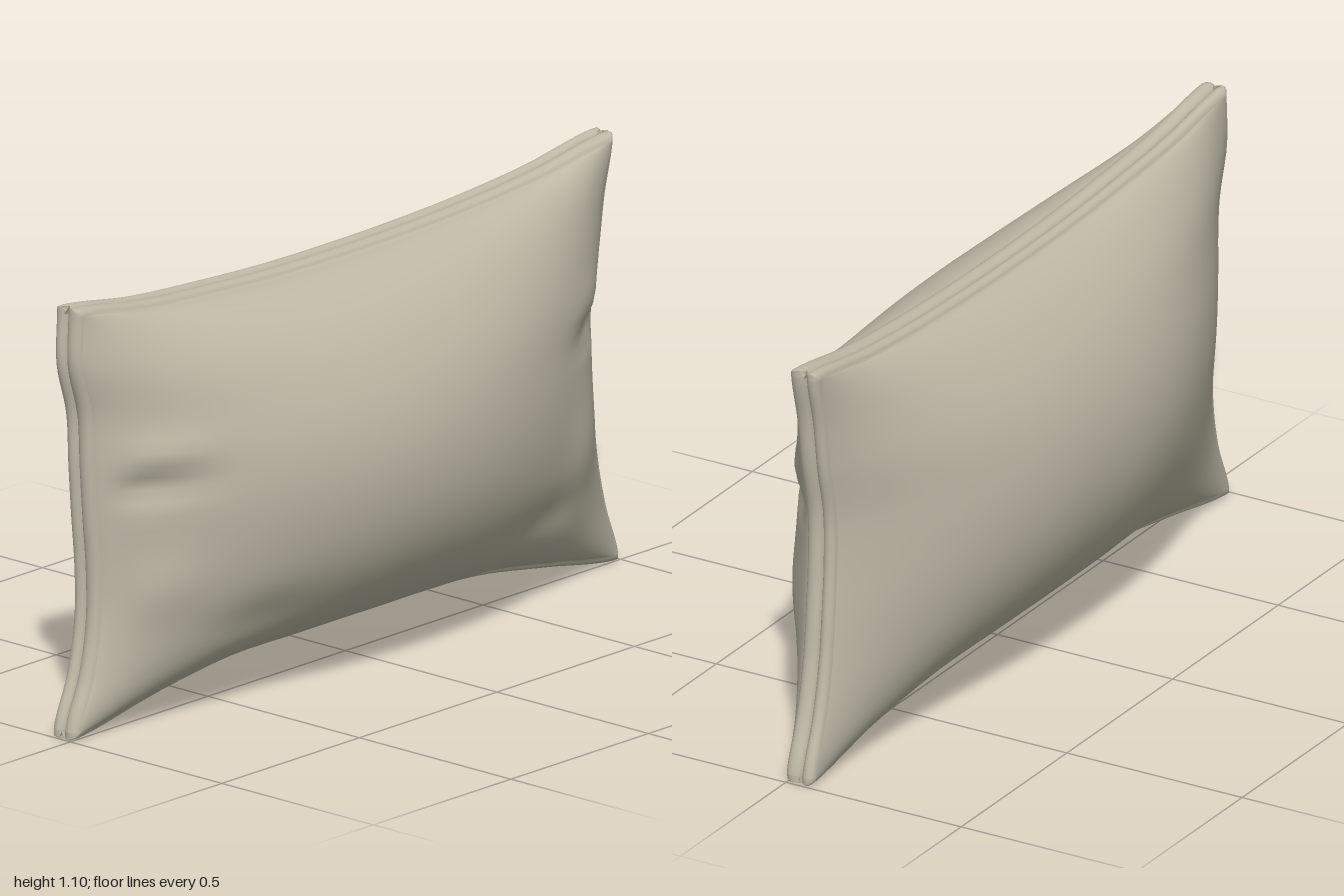
import * as THREE from 'three';

const SEAM_Z = -0.035;
const NU = 72, NV = 48, LIP = 8; // panel divisions and rim steps
const LIP_R = 0.018;

// Smooth curve through evenly spaced values, t from -1 to 1
function profile(values) {
  const curve = new THREE.SplineCurve(values.map((y, i) => new THREE.Vector2(i, y)));
  return t => curve.getPoint((t + 1) / 2).y;
}

// Outline of the stitched edge: sides run bottom to top, the others left to right
const leftX = profile([-0.975, -0.925, -0.9, -0.9, -0.912, -0.922, -0.93, -0.965, -0.963]);
const rightX = profile([0.975, 0.93, 0.9, 0.885, 0.875, 0.877, 0.905, 0.925, 0.955]);
const bottomY = profile([0.02, 0.062, 0.1, 0.106, 0.108, 0.106, 0.096, 0.06, 0.02]);
const topY = profile([1.085, 1.05, 1.032, 1.02, 1.017, 1.02, 1.03, 1.05, 1.085]);

// Soft creases on the front: x, y, width, height, depth
const CREASES = [
  [-0.82, 0.63, 0.12, 0.03, -0.024], [-0.8, 0.71, 0.13, 0.045, 0.014],
  [0.8, 0.67, 0.13, 0.03, -0.022], [0.78, 0.75, 0.13, 0.045, 0.01],
  [0.72, 0.38, 0.1, 0.14, 0.015], [-0.78, 0.36, 0.1, 0.08, 0.012],
  [-0.5, 0.24, 0.16, 0.06, -0.012], [0.55, 0.25, 0.16, 0.06, -0.012],
];

// Grid coordinate to edge parameter plus angle around the rim
function split(i, n) {
  const k = i - LIP;
  const inside = Math.min(Math.max(k, 0), n);
  return {
    t: Math.sin((inside / n - 0.5) * Math.PI),
    side: Math.sign(k - inside),
    angle: Math.abs(k - inside) / LIP * Math.PI,
  };
}

// One cushion half: a domed sheet whose border rolls into the seam
function panel(dir, { bulge, lipDepth, power, expU, expV, creases }) {
  const cols = NU + 2 * LIP + 1, rows = NV + 2 * LIP + 1;
  const pos = [], index = [];
  for (let j = 0; j < rows; j++) {
    const b = split(j, NV);
    for (let i = 0; i < cols; i++) {
      const a = split(i, NU);
      const u = a.t, v = b.t;
      const x = THREE.MathUtils.lerp(leftX(v), rightX(v), (u + 1) / 2)
        + a.side * LIP_R * Math.sin(a.angle);
      const y = THREE.MathUtils.lerp(bottomY(u), topY(u), (v + 1) / 2)
        + b.side * LIP_R * Math.sin(b.angle);
      const fu = Math.max(0, 1 - Math.abs(u) ** power);
      const fv = Math.max(0, 1 - v * v);
      let h = lipDepth * (1 + Math.cos(Math.max(a.angle, b.angle))) / 2;
      h += bulge * fu ** expU * fv ** expV;
      const fade = Math.min(1, 6 * fu) * Math.min(1, 6 * fv);
      for (const [cx, cy, w, t, d] of creases) {
        h += fade * d * Math.exp(-(((x - cx) / w) ** 2) - ((y - cy) / t) ** 2);
      }
      pos.push(x, y, SEAM_Z + dir * h);
      if (i < cols - 1 && j < rows - 1) {
        const p = j * cols + i, q = p + 1, r = p + cols, s = r + 1;
        if (dir > 0) index.push(p, q, s, p, s, r);
        else index.push(p, s, q, p, r, s);
      }
    }
  }
  const geo = new THREE.BufferGeometry();
  geo.setAttribute('position', new THREE.Float32BufferAttribute(pos, 3));
  geo.setIndex(index);
  geo.computeVertexNormals();
  return geo;
}

export function createModel() {
  const group = new THREE.Group();
  group.name = 'pillow';
  const fabric = new THREE.MeshStandardMaterial({ color: 0xbfb9a6 });
  fabric.name = 'beige fabric';

  const front = new THREE.Mesh(panel(1, {
    bulge: 0.315, lipDepth: 0.045, power: 2, expU: 0.8, expV: 0.58, creases: CREASES,
  }), fabric);
  front.name = 'frontPanel';

  const back = new THREE.Mesh(panel(-1, {
    bulge: 0.259, lipDepth: 0.036, power: 2.3, expU: 0.95, expV: 0.68, creases: [],
  }), fabric);
  back.name = 'backPanel';

  group.add(front, back);
  return group;
}
